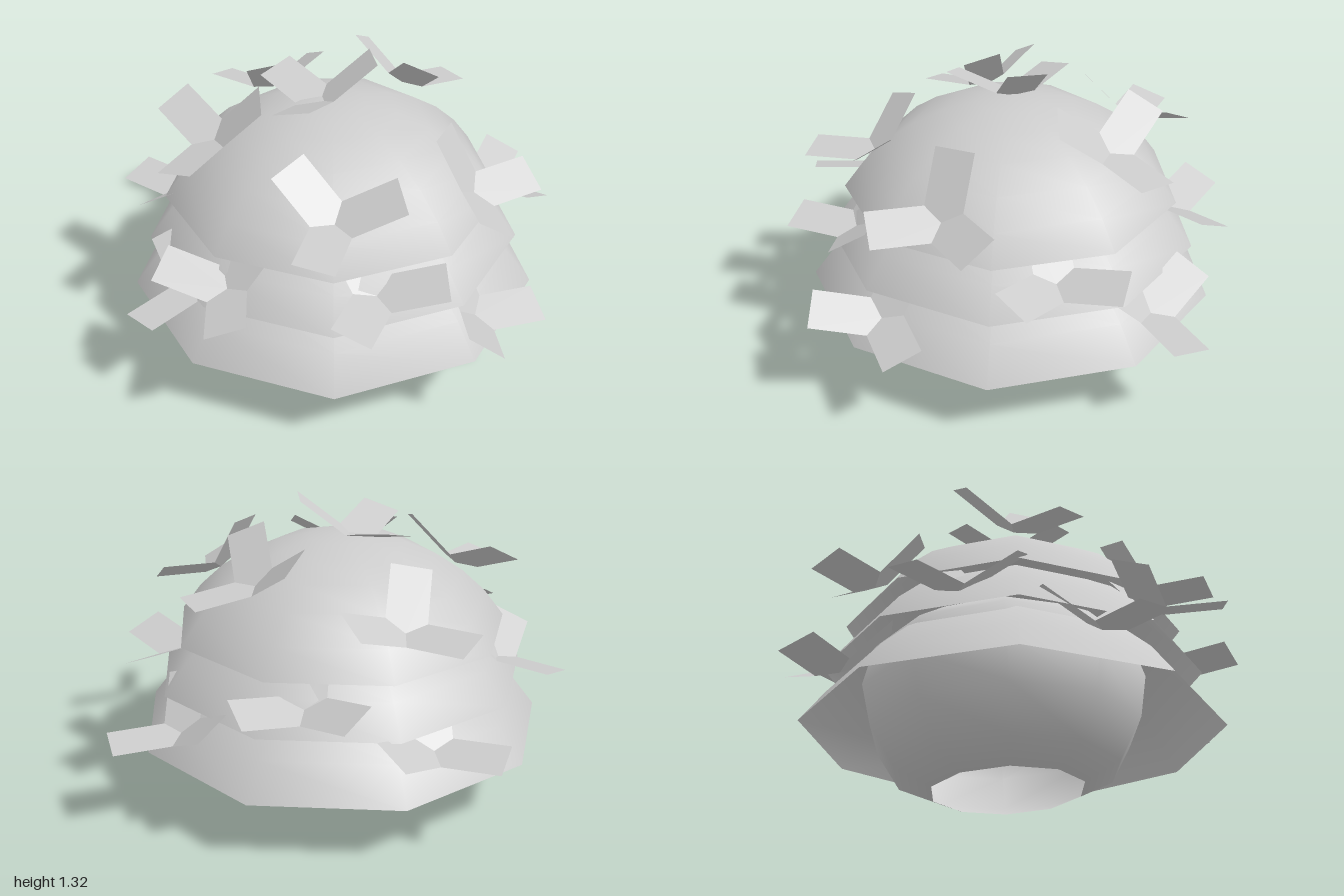
import * as THREE from 'three';

const CX = -0.03, CZ = -0.02;           // axis of the bush
const { degToRad } = THREE.MathUtils;
const SPREAD = degToRad(57.4);          // opening of every dome

// Domes from bottom to top: rim radius and rim height
const DOMES = [
  { name: 'lowerFoliageDome', rim: 0.928, y: 0.27 },
  { name: 'middleFoliageDome', rim: 0.84, y: 0.52 },
  { name: 'upperFoliageDome', rim: 0.755, y: 0.73 },
];

// Leaf clusters: centre x, y, z, direction of one leaf seen from above,
// lean from vertical, direction of the lean (degrees)
const CLUSTERS = [
  // on the upper dome
  [-0.08, 1.13, -0.04, 0, 16, 185],
  [-0.55, 0.99, -0.03, 4, 28, 154],
  [-0.13, 0.91, 0.58, -4, 25, 100],
  [0.36, 1.02, -0.35, -22, 29, -27],
  [-0.22, 0.90, -0.64, 95, 25, 253],
  [0.50, 0.87, 0.40, 90, 37, 36],
  // on the middle dome
  [-0.57, 0.61, 0.53, 96, 25, 135],
  [0.02, 0.62, 0.70, 6, 25, 85],
  [0.69, 0.63, -0.03, -59, 25, 0],
  [0.19, 0.62, -0.71, 227, 25, -72],
  [-0.70, 0.62, -0.25, 225, 25, 199],
  // on the lower dome
  [0.46, 0.42, 0.66, -7, 32, 30],
  [0.69, 0.415, -0.45, -13, 25, -31],
  [-0.33, 0.43, -0.75, 208, 25, 246],
  [-0.70, 0.46, 0.31, 144, 25, 153],
];

// Three folded five-cornered leaves that share a centre and neighbouring corners
function leafClusterGeometry() {
  const inner = 0.1, length = 0.275, slope = 0.42;
  const half = inner * Math.sin(Math.PI / 3), foot = inner / 2;
  const outline = [[0, 0], [foot, half], [length, half], [length, -half], [foot, -half]];
  const position = [];
  for (let k = 0; k < 3; k++) {
    const a = k * Math.PI * 2 / 3;
    const pts = outline.map(([u, v]) => [
      u * Math.cos(a) - v * Math.sin(a), u * slope, u * Math.sin(a) + v * Math.cos(a)]);
    for (let i = 1; i < 4; i++) position.push(...pts[0], ...pts[i], ...pts[i + 1]);
  }
  const g = new THREE.BufferGeometry();
  g.setAttribute('position', new THREE.Float32BufferAttribute(position, 3));
  g.computeVertexNormals();
  return g;
}

export function createModel() {
  const group = new THREE.Group();
  const material = new THREE.MeshStandardMaterial({ color: 0xcccccc, side: THREE.DoubleSide });
  const add = (name, geometry) => {
    const mesh = new THREE.Mesh(geometry, material);
    mesh.name = name;
    group.add(mesh);
    return mesh;
  };

  // Rounded core, open at the bottom and slightly tilted
  const profile = [[0.34, 0.015], [0.5, 0.09], [0.605, 0.27], [0.64, 0.45], [0.59, 0.63], [0.42, 0.74], [0, 0.78]];
  const core = add('core', new THREE.LatheGeometry(profile.map(p => new THREE.Vector2(...p)), 10, Math.PI / 2));
  core.position.set(CX, 0, CZ - 0.02);
  core.rotation.x = -0.045;

  // Stacked nine-sided foliage domes
  for (const { name, rim, y } of DOMES) {
    const radius = rim / Math.sin(SPREAD);
    const dome = add(name, new THREE.SphereGeometry(radius, 9, 6, 0, Math.PI * 2, 0, SPREAD));
    dome.position.set(CX, y - radius * Math.cos(SPREAD), CZ);
  }

  // Leaf clusters leaning outward on the dome surfaces
  const leaves = leafClusterGeometry();
  for (const [x, y, z, heading, lean, leanHeading] of CLUSTERS) {
    const cluster = add('leafCluster', leaves);
    const a = degToRad(heading), b = degToRad(leanHeading), t = degToRad(lean);
    const up = new THREE.Vector3(Math.sin(t) * Math.cos(b), Math.cos(t), Math.sin(t) * Math.sin(b));
    const along = new THREE.Vector3(Math.cos(a), 0, Math.sin(a)).projectOnPlane(up).normalize();
    const side = new THREE.Vector3().crossVectors(along, up);
    cluster.quaternion.setFromRotationMatrix(new THREE.Matrix4().makeBasis(along, up, side));
    cluster.position.set(x, y, z);
  }
  return group;
}
